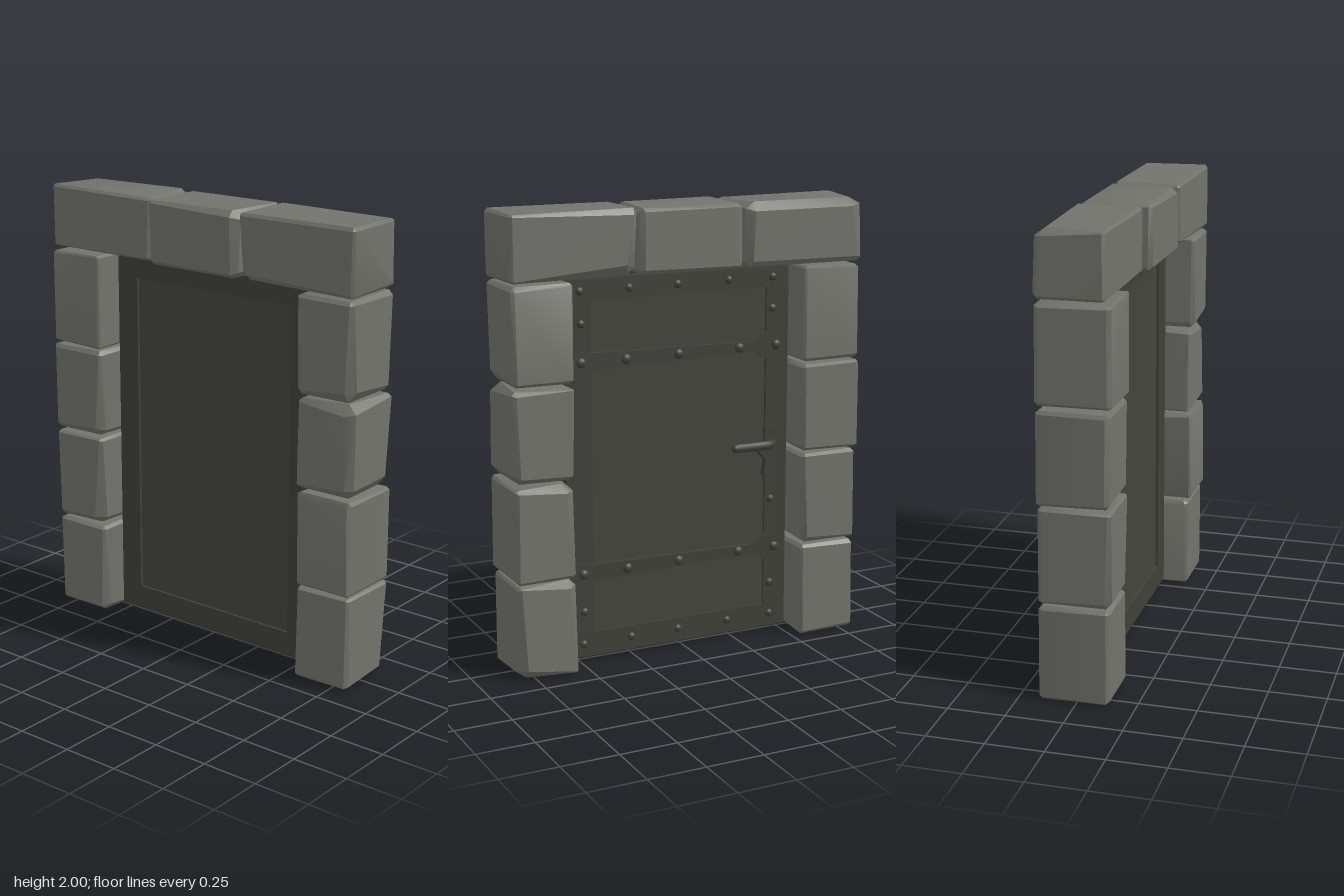
import * as THREE from 'three';
import { toCreasedNormals } from 'three/addons/utils/BufferGeometryUtils.js';
import { ConvexGeometry } from 'three/addons/geometries/ConvexGeometry.js';

export function createModel() {
  const model = new THREE.Group();
  const stone = new THREE.MeshStandardMaterial({ color: 0x72736c });
  const wood = new THREE.MeshStandardMaterial({ color: 0x44443d });
  const iron = new THREE.MeshStandardMaterial({ color: 0x40403a });
  stone.name = 'stone';
  wood.name = 'dark wood';
  iron.name = 'iron';

  let seed = 11;
  const rand = () => (seed = (seed * 16807) % 2147483647) / 2147483647;

  const add = (parent, name, geometry, material, x = 0, y = 0, z = 0) => {
    const mesh = new THREE.Mesh(geometry, material);
    mesh.name = name;
    mesh.position.set(x, y, z);
    parent.add(mesh);
    return mesh;
  };
  const box = (parent, name, material, [x0, x1], [y0, y1], [z0, z1]) =>
    add(parent, name, new THREE.BoxGeometry(x1 - x0, y1 - y0, z1 - z0), material,
      (x0 + x1) / 2, (y0 + y1) / 2, (z0 + z1) / 2);

  // Roughly cut block: each corner is bevelled by its own irregular amount
  function stoneBlock(parent, [x0, x1], [y0, y1], [z0, z1]) {
    const half = [(x1 - x0) / 2, (y1 - y0) / 2, (z1 - z0) / 2];
    const points = [];
    for (const sx of [-1, 1]) for (const sy of [-1, 1]) for (const sz of [-1, 1]) {
      const cut = rand() < 0.2 ? 0.035 + rand() * 0.015 : 0.012 + rand() * 0.014;
      for (let axis = 0; axis < 3; axis++) {
        const p = [sx, sy, sz].map((s, i) =>
          s * (half[i] - (i === axis ? rand() * 0.006 : cut * (0.7 + 0.5 * rand()))));
        points.push(new THREE.Vector3(...p));
      }
    }
    add(parent, 'stoneBlock', toCreasedNormals(new ConvexGeometry(points), 0.55), stone,
      (x0 + x1) / 2, (y0 + y1) / 2, (z0 + z1) / 2);
  }

  // Stone surround: three lintel blocks over two columns of four
  const surround = new THREE.Group();
  surround.name = 'stoneSurround';
  model.add(surround);
  const blocks = [
    [[-0.165, 0.142], [1.712, 2], [0.25, 0.83]],
    [[-0.17, 0.15], [1.712, 2], [-0.24, 0.245]],
    [[-0.137, 0.167], [1.712, 2], [-0.83, -0.25]],
    [[-0.167, 0.14], [1.277, 1.706], [0.55, 0.83]],
    [[-0.155, 0.148], [0.862, 1.267], [0.55, 0.835]],
    [[-0.16, 0.16], [0.432, 0.855], [0.56, 0.835]],
    [[-0.147, 0.158], [0, 0.428], [0.55, 0.83]],
    [[-0.16, 0.165], [1.277, 1.706], [-0.825, -0.54]],
    [[-0.15, 0.16], [0.862, 1.267], [-0.835, -0.54]],
    [[-0.152, 0.16], [0.432, 0.855], [-0.825, -0.545]],
    [[-0.145, 0.163], [0, 0.428], [-0.825, -0.54]],
  ];
  blocks.forEach((b) => stoneBlock(surround, ...b));

  // Door leaf: recessed panel inside a flat frame
  const door = new THREE.Group();
  door.name = 'door';
  model.add(door);
  const face = 0.03;
  const depth = [-0.03, face];
  box(door, 'panel', wood, [-0.018, 0.018], [0.12, 1.615], [-0.43, 0.44]);
  box(door, 'topRail', iron, depth, [1.605, 1.7], [-0.53, 0.55]);
  box(door, 'bottomRail', iron, depth, [0.02, 0.13], [-0.53, 0.55]);
  box(door, 'hingeStile', iron, depth, [0.13, 1.605], [0.43, 0.55]);
  box(door, 'latchStile', iron, depth, [0.13, 1.605], [-0.53, -0.42]);

  // Tapered hinge straps ending in a diamond; half outline as [z, half height]
  const outline = [[0.56, 0.056], [0.44, 0.038], [-0.345, 0.021], [-0.365, 0.03],
    [-0.425, 0.064], [-0.465, 0.048], [-0.512, 0]];
  const strapShape = new THREE.Shape(
    [...outline, ...outline.slice(0, -1).reverse().map(([z, h]) => [z, -h])]
      .map(([z, h]) => new THREE.Vector2(-z, h)));
  const rivets = [];
  for (const y of [0.405, 1.345]) {
    const strap = add(door, 'hingeStrap', new THREE.ExtrudeGeometry(strapShape,
      { depth: 0.022, bevelEnabled: false }), iron, 0.018, y, 0);
    strap.rotation.y = Math.PI / 2;
    for (const z of [0.48, 0.27, 0.02, -0.28, -0.465]) rivets.push([0.04, y, z, 0.023]);
  }

  // Domed rivets along the frame
  for (const y of [0.08, 1.65]) {
    for (const z of [0.48, 0.25, 0.02, -0.23, -0.45]) rivets.push([face, y, z, 0.019]);
  }
  for (const y of [0.23, 1.51]) {
    for (const z of [0.475, -0.45]) rivets.push([face, y, z, 0.019]);
  }
  rivets.push([face, 0.63, -0.45, 0.019]);
  const dome = new THREE.SphereGeometry(1, 12, 5, 0, Math.PI * 2, 0, Math.PI / 2);
  dome.rotateZ(-Math.PI / 2);
  for (const [x, y, z, r] of rivets) {
    add(door, 'rivet', dome, iron, x, y, z).scale.set(r * 0.75, r, r);
  }

  // Lock plate, lever handle and keyhole cover
  box(door, 'lockPlate', iron, [0.02, 0.04], [0.71, 0.97], [-0.478, -0.415]);
  const leverPath = new THREE.CatmullRomCurve3([
    [0.03, 0.9, -0.43], [0.075, 0.9, -0.428], [0.098, 0.902, -0.4],
    [0.1, 0.902, -0.32], [0.095, 0.902, -0.235],
  ].map((p) => new THREE.Vector3(...p)));
  add(door, 'leverHandle', new THREE.TubeGeometry(leverPath, 16, 0.02, 8), iron);
  add(door, 'leverTip', new THREE.SphereGeometry(0.02, 8, 6), iron, 0.095, 0.902, -0.235);
  const cover = new THREE.Shape([[0.375, 0.865], [0.41, 0.875], [0.44, 0.83], [0.43, 0.745],
    [0.405, 0.75], [0.415, 0.82]].map(([z, y]) => new THREE.Vector2(z, y)));
  add(door, 'keyholeCover', new THREE.ExtrudeGeometry(cover,
    { depth: 0.03, bevelEnabled: false }), iron, 0.02).rotation.y = Math.PI / 2;

  return model;
}
